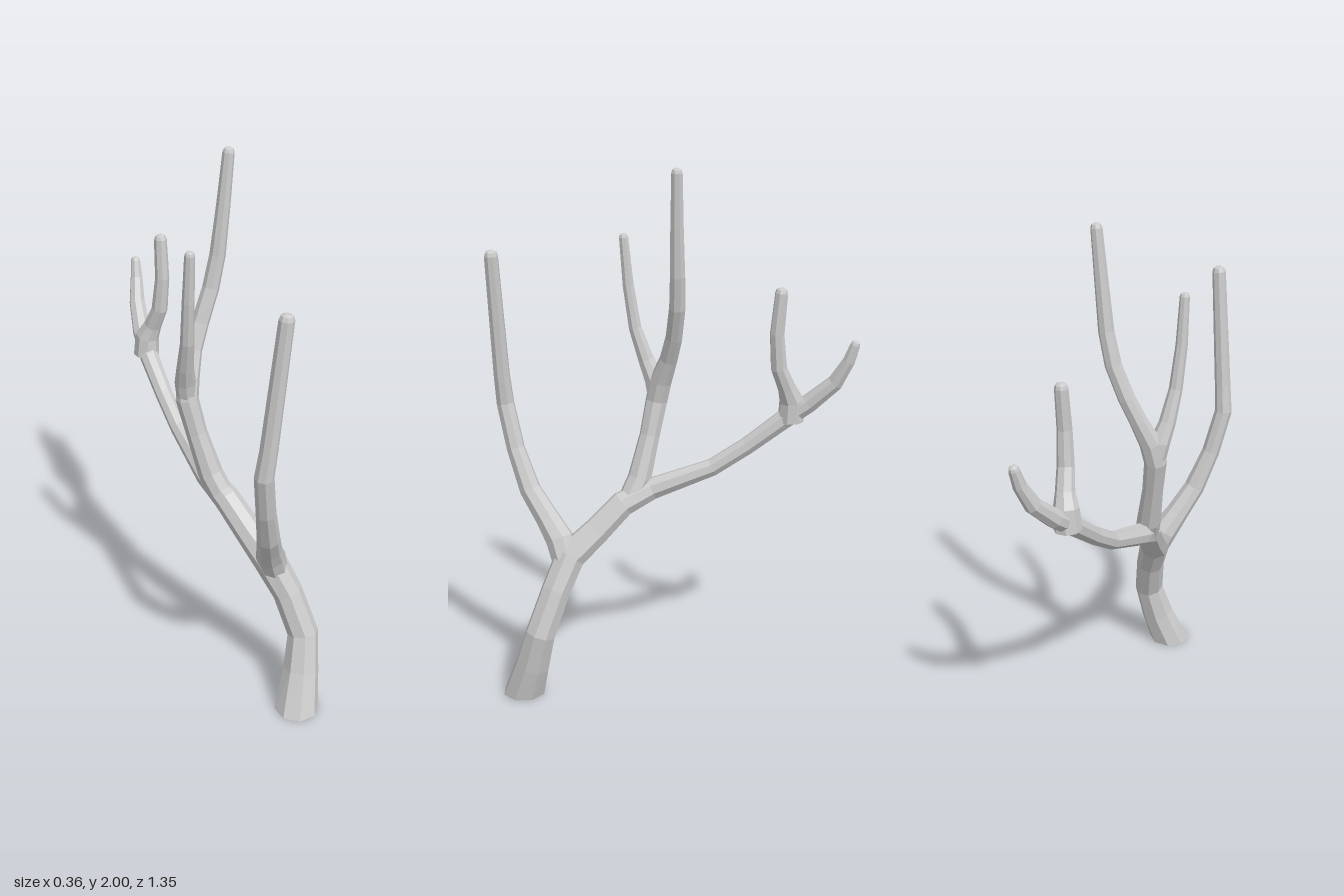
import * as THREE from 'three';

const SIDES = 8;
const material = new THREE.MeshStandardMaterial({ color: 0xcccccc, flatShading: true });

// Sweeps an octagonal section along [x, y, z, radius] stations; the far end is rounded, the near end capped.
function limb(name, stations, flatBase = false) {
  const pts = stations.map(s => new THREE.Vector3(s[0], s[1], s[2]));
  const radii = stations.map(s => s[3]);
  const n = pts.length;

  // rounded tip: two shrinking rings placed just before the end point
  const end = pts[n - 1].clone(), r = radii[n - 1];
  const dir = end.clone().sub(pts[n - 2]).normalize();
  pts[n - 1].addScaledVector(dir, -r * 0.8);
  pts.push(end.clone().addScaledVector(dir, -r * 0.25), end);
  radii.push(r * 0.8, r * 0.35);

  const positions = [], index = [];
  const normal = new THREE.Vector3(1, 0, 0), binormal = new THREE.Vector3(), tangent = new THREE.Vector3();
  pts.forEach((p, i) => {
    const before = pts[Math.max(i - 1, 0)], after = pts[Math.min(i + 1, pts.length - 1)];
    tangent.set(0, 0, 0);
    if (i > 0) tangent.add(p.clone().sub(before).normalize());
    if (i < pts.length - 1) tangent.add(after.clone().sub(p).normalize());
    tangent.normalize();
    if (i === 0 && flatBase) tangent.set(0, 1, 0);
    // carry the section along without twist
    normal.addScaledVector(tangent, -normal.dot(tangent)).normalize();
    binormal.crossVectors(tangent, normal);
    for (let k = 0; k < SIDES; k++) {
      const a = (k + 0.5) / SIDES * Math.PI * 2;
      const v = p.clone()
        .addScaledVector(normal, Math.cos(a) * radii[i])
        .addScaledVector(binormal, Math.sin(a) * radii[i]);
      positions.push(v.x, v.y, v.z);
    }
  });

  const last = (pts.length - 1) * SIDES;
  for (let i = 0; i < pts.length - 1; i++) {
    for (let k = 0; k < SIDES; k++) {
      const a = i * SIDES + k, b = i * SIDES + (k + 1) % SIDES;
      index.push(a, b, b + SIDES, a, b + SIDES, a + SIDES);
    }
  }
  // end caps as fans
  for (let k = 1; k < SIDES - 1; k++) {
    index.push(0, k + 1, k);
    index.push(last, last + k, last + k + 1);
  }
  const geometry = new THREE.BufferGeometry();
  geometry.setAttribute('position', new THREE.Float32BufferAttribute(positions, 3));
  geometry.setIndex(index);
  geometry.computeVertexNormals();
  const mesh = new THREE.Mesh(geometry, material);
  mesh.name = name;
  return mesh;
}

export function createModel() {
  const tree = new THREE.Group();
  tree.name = 'bareTree';
  tree.add(
    // trunk leaning back and running on into the long rear bough
    limb('trunkAndRearBough', [
      [0.06, 0, 0.58, 0.083],
      [0.10, 0.14, 0.54, 0.067],
      [0.125, 0.28, 0.505, 0.058],
      [0.09, 0.44, 0.445, 0.056],
      [0.045, 0.56, 0.39, 0.06],
      [0.01, 0.645, 0.29, 0.053],
      [-0.025, 0.74, 0.19, 0.05],
      [-0.05, 0.79, 0.08, 0.043],
      [-0.045, 0.875, -0.15, 0.034],
      [-0.042, 0.96, -0.28, 0.034],
      [-0.037, 1.06, -0.41, 0.037],
      [-0.022, 1.13, -0.505, 0.036],
      [0.004, 1.215, -0.595, 0.031],
      [0.025, 1.3, -0.638, 0.024],
      [0.033, 1.378, -0.662, 0.019],
    ], true),
    // front bough
    limb('frontBough', [
      [0.055, 0.53, 0.405, 0.05],
      [0.02, 0.62, 0.43, 0.054],
      [-0.015, 0.69, 0.475, 0.046],
      [-0.06, 0.79, 0.54, 0.041],
      [-0.105, 0.94, 0.592, 0.035],
      [-0.138, 1.11, 0.627, 0.034],
      [-0.127, 1.22, 0.635, 0.031],
      [-0.085, 1.695, 0.652, 0.026],
    ]),
    // middle bough ending in the tall twig
    limb('middleBoughAndTallTwig', [
      [-0.03, 0.74, 0.17, 0.045],
      [-0.06, 0.83, 0.125, 0.046],
      [-0.095, 0.99, 0.085, 0.039],
      [-0.118, 1.12, 0.058, 0.042],
      [-0.105, 1.2, 0.042, 0.042],
      [-0.07, 1.29, 0.014, 0.034],
      [-0.03, 1.38, -0.004, 0.032],
      [0.018, 1.5, -0.014, 0.031],
      [0.045, 1.62, -0.014, 0.029],
      [0.065, 1.8, -0.011, 0.025],
      [0.085, 2.0, -0.01, 0.021],
    ]),
    // shorter twig forking off the middle bough
    limb('middleShortTwig', [
      [-0.118, 1.12, 0.055, 0.036],
      [-0.13, 1.2, 0.067, 0.038],
      [-0.145, 1.27, 0.096, 0.031],
      [-0.157, 1.39, 0.136, 0.025],
      [-0.165, 1.55, 0.16, 0.022],
      [-0.166, 1.74, 0.176, 0.018],
    ]),
    // upright twig on the rear bough
    limb('rearUprightTwig', [
      [-0.035, 1.06, -0.44, 0.05],
      [-0.03, 1.14, -0.44, 0.046],
      [-0.015, 1.19, -0.42, 0.035],
      [0.0, 1.27, -0.387, 0.031],
      [0.008, 1.4, -0.376, 0.027],
      [0.01, 1.57, -0.39, 0.024],
    ]),
  );
  return tree;
}
